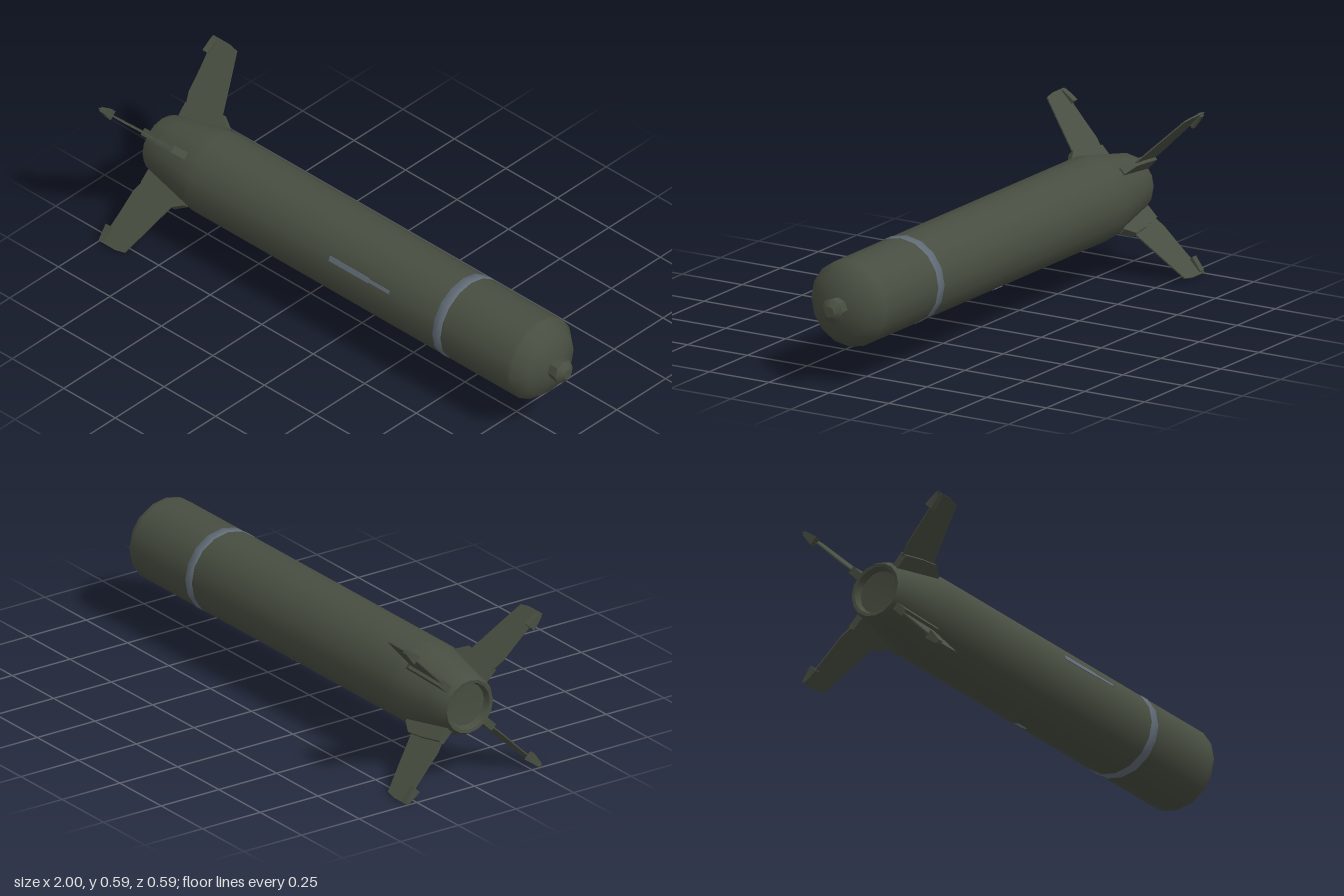
import * as THREE from 'three';
import { toCreasedNormals } from 'three/addons/utils/BufferGeometryUtils.js';

const AXIS_Y = 0.296;
const R = 0.158;

export function createModel() {
  const root = new THREE.Group();
  root.name = 'finnedCanister';
  const olive = new THREE.MeshStandardMaterial({ color: 0x484e41 });
  olive.name = 'olive drab';
  const slate = new THREE.MeshStandardMaterial({ color: 0x626c77 });
  slate.name = 'slate marking';

  // everything is built round the x axis, then lifted
  const body = new THREE.Group();
  body.name = 'assembly';
  body.position.y = AXIS_Y;
  root.add(body);

  const add = (name, geometry, material, parent = body) => {
    const mesh = new THREE.Mesh(geometry, material);
    mesh.name = name;
    parent.add(mesh);
    return mesh;
  };
  // profile of [x, radius] turned round the x axis
  const turned = (profile, sides, crease) => {
    const g = new THREE.LatheGeometry(profile.map(([x, r]) => new THREE.Vector2(r, x)), sides);
    g.rotateZ(-Math.PI / 2);
    return toCreasedNormals(g, crease);
  };
  // flat outline in the x / radial plane, centred on its thickness
  const slab = (points, depth) => {
    const shape = new THREE.Shape(points.map(([x, y]) => new THREE.Vector2(x, y)));
    const g = new THREE.ExtrudeGeometry(shape, { depth, bevelEnabled: false });
    return g.translate(0, 0, -depth / 2);
  };

  // main casing with tapered tail, hollow rear and rounded nose
  add('casing', turned([
    [-0.94, 0], [-0.945, 0.08], [-0.97, 0.088], [-0.972, 0.1], [-0.95, 0.112],
    [-0.88, 0.126], [-0.8, 0.142], [-0.72, R], [-0.7, R], [0.85, R], [0.868, R],
    [0.915, 0.118], [0.94, 0.05], [0.942, 0],
  ], 16, 0.85), olive);

  // octagonal nose plug
  add('nosePlug', turned([
    [0.935, 0.04], [0.945, 0.041], [0.98, 0.045], [0.985, 0.04], [1, 0.02], [1, 0],
  ], 8, 0.6), olive);

  // painted band
  add('band', turned([[0.49, R], [0.492, R + 0.0015], [0.528, R + 0.0015], [0.53, R]], 16, 0.85), slate);

  // small worn paint marks: x start, x end, width, angle from +z towards +y
  [
    [-0.02, 0.17, 0.019, 22.5],
    [0.17, 0.27, 0.012, 22.5],
    [-0.03, 0.02, 0.018, 247.5],
  ].forEach(([x0, x1, width, angle]) => {
    const g = new THREE.BoxGeometry(x1 - x0, width, 0.004);
    g.translate((x0 + x1) / 2, 0, R - 0.001);
    g.rotateX(-THREE.MathUtils.degToRad(angle));
    add('paintMark', g, slate);
  });

  // four diagonal tail fins
  const blade = slab([
    [-0.95, 0.13], [-0.79, 0.13], [-0.803, 0.19], [-0.845, 0.31], [-0.88, 0.407],
    [-0.92, 0.415], [-1, 0.415], [-0.998, 0.38], [-0.985, 0.345], [-0.979, 0.28], [-0.974, 0.2],
  ], 0.005);
  const foot = slab([
    [-0.955, 0.09], [-0.75, 0.13], [-0.75, 0.157], [-0.795, 0.187], [-0.87, 0.179], [-0.957, 0.162],
  ], 0.028);
  const tipShape = new THREE.Shape([
    [-0.018, 0.35], [0.018, 0.35], [0.008, 0.408], [-0.008, 0.408],
  ].map(([s, r]) => new THREE.Vector2(s, r)));
  const tip = new THREE.ExtrudeGeometry(tipShape, { depth: 0.024, bevelEnabled: false });
  tip.rotateY(Math.PI / 2).translate(-0.998, 0, 0);

  for (let i = 0; i < 4; i++) {
    const fin = new THREE.Group();
    fin.name = 'tailFin';
    fin.rotation.x = Math.PI / 4 + i * Math.PI / 2;
    add('finBlade', blade, olive, fin);
    add('finFoot', foot, olive, fin);
    add('finTipTab', tip, olive, fin);
    body.add(fin);
  }
  return root;
}
